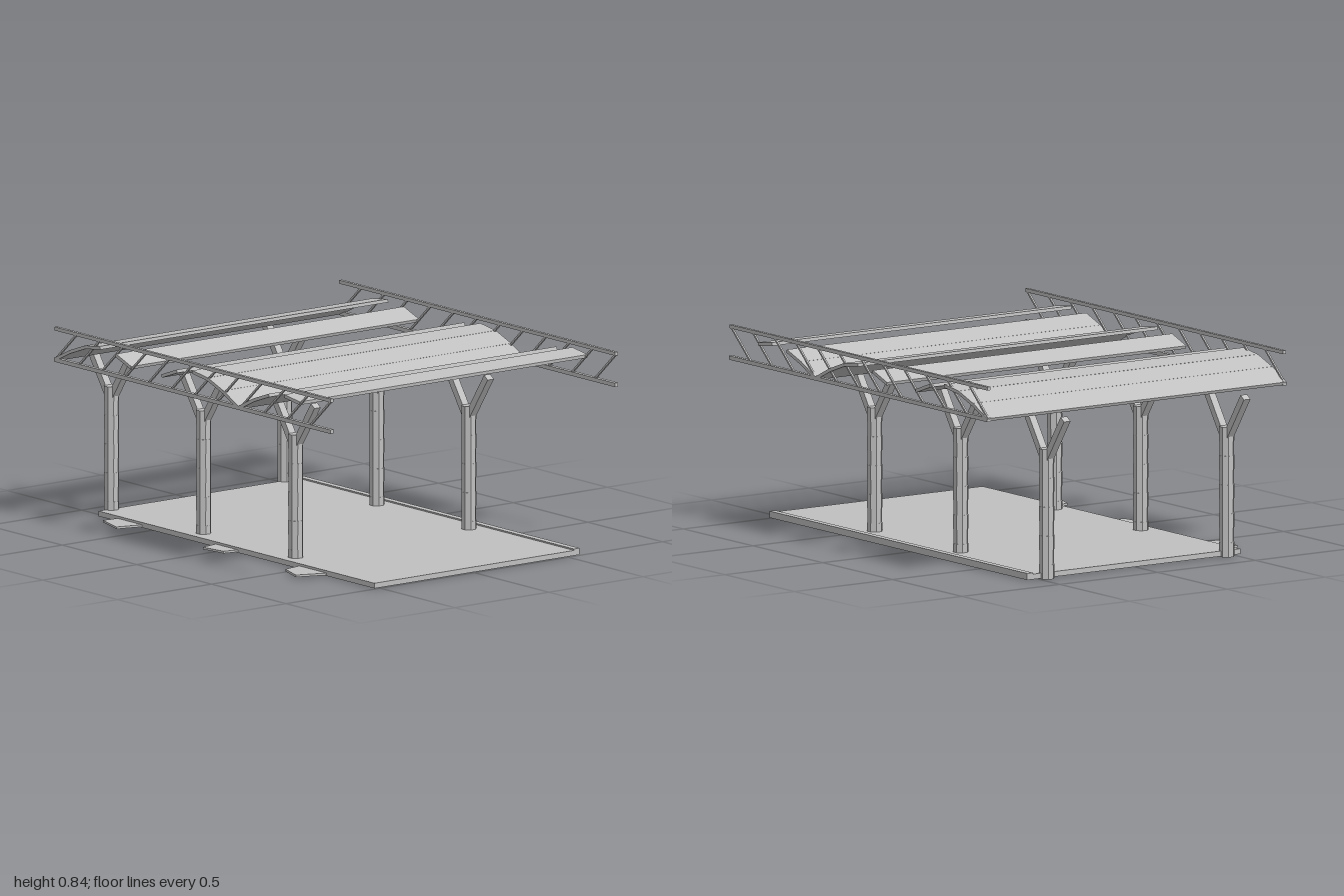
import * as THREE from 'three';

export function createModel() {
  const model = new THREE.Group();
  model.name = 'ruinedPlatformShelter';
  const grey = new THREE.MeshStandardMaterial({ color: 0xc0c0c0, flatShading: true });
  grey.name = 'weatheredGrey';

  const add = (name, geometry, parent = model) => {
    const mesh = new THREE.Mesh(geometry, grey);
    mesh.name = name;
    parent.add(mesh);
    return mesh;
  };
  const box = (name, w, h, d, x, y, z, parent) => {
    const mesh = add(name, new THREE.BoxGeometry(w, h, d), parent);
    mesh.position.set(x, y, z);
    return mesh;
  };
  // Bar lying in the xy plane between two points
  const bar = (name, x0, y0, x1, y1, thick, depth, z, parent) => {
    const length = Math.hypot(x1 - x0, y1 - y0);
    const mesh = box(name, length, thick, depth, (x0 + x1) / 2, (y0 + y1) / 2, z, parent);
    mesh.rotation.z = Math.atan2(y1 - y0, x1 - x0);
    return mesh;
  };

  const left = -0.85, right = 1, bayWidth = (right - left) / 3;

  // Floor slab with a low curb along the back
  box('floor', 1.85, 0.022, 1.09, 0.075, 0.014, -0.015);
  box('backCurb', 1.85, 0.027, 0.03, 0.075, 0.0175, -0.545);

  // Broken slabs sticking out along the front edge
  const shards = [
    [[-0.72, 0.5], [-0.73, 0.6], [-0.59, 0.64], [-0.55, 0.5]],
    [[-0.07, 0.5], [-0.05, 0.61], [0.07, 0.595], [0.09, 0.5]],
    [[0.49, 0.5], [0.51, 0.615], [0.63, 0.655], [0.69, 0.5]],
  ];
  for (const points of shards) {
    const shape = new THREE.Shape(points.map(([x, z]) => new THREE.Vector2(x, -z)));
    const geometry = new THREE.ExtrudeGeometry(shape, { depth: 0.009, bevelEnabled: false });
    geometry.rotateX(-Math.PI / 2);
    add('brokenSlab', geometry).position.y = 0.006;
  }

  // Posts of stacked octagonal drums, each with two forked arms
  const drums = 9, drumHeight = 0.55 / drums;
  for (const z of [-0.46, 0.46]) {
    for (let i = 0; i < 3; i++) {
      const post = new THREE.Group();
      post.name = 'post';
      post.position.set(left + i * bayWidth, 0, z);
      model.add(post);
      for (let d = 0; d < drums; d++) {
        const r = d % 2 ? 0.0315 : 0.0325;
        const drum = new THREE.CylinderGeometry(r, r, drumHeight, 8);
        drum.rotateY(Math.PI / 8);
        add('postDrum', drum, post).position.y = (d + 0.5) * drumHeight;
      }
      for (const s of [-1, 1]) {
        bar('forkArm', s * 0.012, 0.51, s * 0.135, 0.692, 0.03, 0.033, 0, post);
      }
    }
  }

  // Lattice girders at the front and back of the roof
  for (const z of [-0.756, 0.756]) {
    const girder = new THREE.Group();
    girder.name = 'girder';
    model.add(girder);
    box('bottomChord', 1.85, 0.017, 0.018, 0.075, 0.7, z, girder);
    box('topChord', 1.85, 0.015, 0.015, 0.075, 0.832, z, girder);
    for (let i = 0; i < 12; i++) {
      const x = left + i * 0.155;
      bar('girderDiagonal', x, 0.702, x + 0.142, 0.83, 0.008, 0.008, z, girder);
    }
  }

  // Roof vaults of six slats per bay; several slats are missing
  const heights = [0.7, 0.75, 0.787, 0.801, 0.787, 0.75, 0.7];
  const remaining = [[0, 1, 2, 4], [1, 3, 4, 5], [0, 1, 3]];
  const step = bayWidth / 6;
  remaining.forEach((slats, bay) => {
    for (const s of slats) {
      const x = left + bay * bayWidth + s * step;
      bar('roofSlat', x, heights[s], x + step, heights[s + 1], 0.014, 1.53, 0);
    }
  });

  return model;
}
